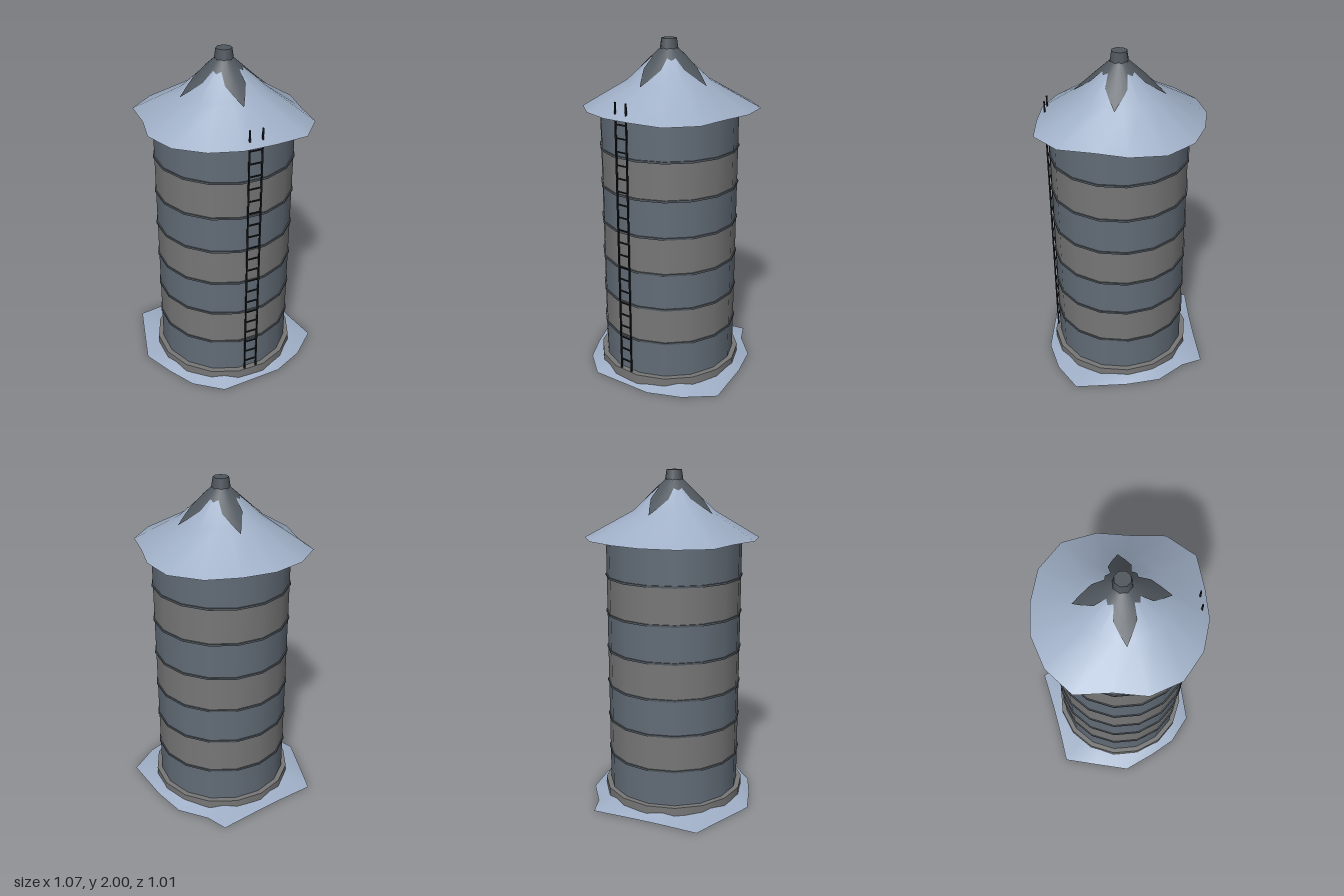
import * as THREE from 'three';

const SIDES = 16;
const CZ = 0.035; // the tower axis sits slightly forward of the centre
const material = (color) => new THREE.MeshStandardMaterial({ color, side: THREE.DoubleSide });
const steelBlue = material(0x626c77);
const grey = material(0x777777);
const pale = material(0x9fafc6);
const dark = material(0x50575e);
const black = material(0x191c1f);

function add(parent, name, geometry, mat, x = 0, y = 0, z = 0) {
  const mesh = new THREE.Mesh(geometry, mat);
  mesh.name = name;
  mesh.position.set(x, y, z);
  parent.add(mesh);
  return mesh;
}

// Closed rings of [x, y, z] points, lowest first, skinned into one smooth surface
function loft(rings) {
  const n = rings[0].length;
  const index = [];
  for (let r = 0; r < rings.length - 1; r++) {
    for (let i = 0; i < n; i++) {
      const a = r * n + i, b = r * n + (i + 1) % n;
      index.push(a, a + n, b, b, a + n, b + n);
    }
  }
  const g = new THREE.BufferGeometry();
  g.setAttribute('position', new THREE.Float32BufferAttribute(rings.flat(2), 3));
  g.setIndex(index);
  g.computeVertexNormals();
  return g;
}

// Cylinder whose flats face the axes
function drum(r, height, open = false) {
  const g = new THREE.CylinderGeometry(r, r, height, SIDES, 1, open);
  return g.rotateY(Math.PI / SIDES);
}

export function createModel() {
  const model = new THREE.Group();
  model.name = 'silo';
  const tower = new THREE.Group();
  tower.name = 'tower';
  tower.position.z = CZ;
  model.add(tower);

  // Plinth and alternating wall bands, with a hoop at each joint
  add(tower, 'plinth', drum(0.433, 0.07), grey, 0, 0.035);
  const bandHeight = 0.22;
  for (let i = 0; i < 7; i++) {
    const y = 0.07 + i * bandHeight;
    add(tower, 'wallBand', drum(0.402, bandHeight, true), i % 2 ? grey : steelBlue, 0, y + bandHeight / 2);
    add(tower, 'hoop', drum(0.409, 0.012), dark, 0, y + bandHeight);
  }

  // Roof with an uneven eave
  const eave = [0.455, 0.512, 0.523, 0.464, 0.466, 0.483, 0.502, 0.491,
    0.455, 0.528, 0.515, 0.5, 0.491, 0.516, 0.526, 0.487];
  const roofRing = (y, radius) => eave.map((e, i) => {
    const a = (i + 0.5) * 2 * Math.PI / SIDES;
    const r = radius ?? e;
    return [r * Math.cos(a), y, r * Math.sin(a)];
  });
  add(tower, 'roof', loft([roofRing(1.61), roofRing(1.765, 0.24), roofRing(1.94, 0.05)]), pale);

  // Four-pointed dark flashing lying on the roof
  const quarter = [[0.26, 0], [0.205, 0.033], [0.15, 0.06], [0.085, 0.052],
    [0.08, 0.08], [0.052, 0.085], [0.06, 0.15], [0.033, 0.205]];
  const star = [];
  for (let k = 0; k < 4; k++) {
    const c = [1, 0, -1, 0][k], s = [0, 1, 0, -1][k];
    for (const [x, z] of quarter) star.push([x * c - z * s, z * c + x * s]);
  }
  const roofY = (r) => (r < 0.24 ? 1.94 - (r - 0.05) * 0.921 : 1.765 - (r - 0.24) * 0.62) + 0.005;
  const starRing = (f) => star.map(([x, z]) => {
    const r = Math.hypot(x, z);
    const k = (0.045 + (r - 0.045) * f) / r;
    return [x * k, roofY(r * k), z * k];
  });
  add(tower, 'flashing', loft([1, 0.9, 0.5, 0].map(starRing)), dark);

  // Tapered vent cap
  const cap = new THREE.CylinderGeometry(0.045, 0.054, 0.06, 8).rotateY(Math.PI / 8);
  add(tower, 'ventCap', cap, dark, 0, 1.97);

  // Ragged skirt of ground around the plinth
  const edge = [[0.48, -0.05], [0.53, 0.26], [0.37, 0.4], [0.18, 0.485], [-0.2, 0.505], [-0.36, 0.38],
    [-0.45, 0.22], [-0.535, 0.035], [-0.48, -0.19], [-0.43, -0.39], [-0.2, -0.425], [-0.04, -0.455],
    [0.22, -0.51], [0.28, -0.39], [0.42, -0.25]];
  const outer = edge.map(([x, z]) => [x, 0, z - CZ]);
  const inner = outer.map(([x, , z], i) => {
    const k = 0.42 / Math.hypot(x, z);
    return [x * k, 0.02 + 0.015 * ((i + 1) % 2), z * k];
  });
  add(tower, 'groundSkirt', loft([outer, inner]), pale);

  // Ladder up the front, its rails rising through the eave
  const ladder = new THREE.Group();
  ladder.name = 'ladder';
  ladder.position.set(-0.003, 0, 0.453);
  model.add(ladder);
  for (const side of [-1, 1]) {
    add(ladder, 'ladderRail', new THREE.BoxGeometry(0.008, 1.63, 0.008), black, side * 0.038, 0.885);
  }
  for (let i = 0; i < 20; i++) {
    add(ladder, 'rung', new THREE.BoxGeometry(0.076, 0.007, 0.006), black, 0, 0.135 + i * 0.076);
  }
  return model;
}
